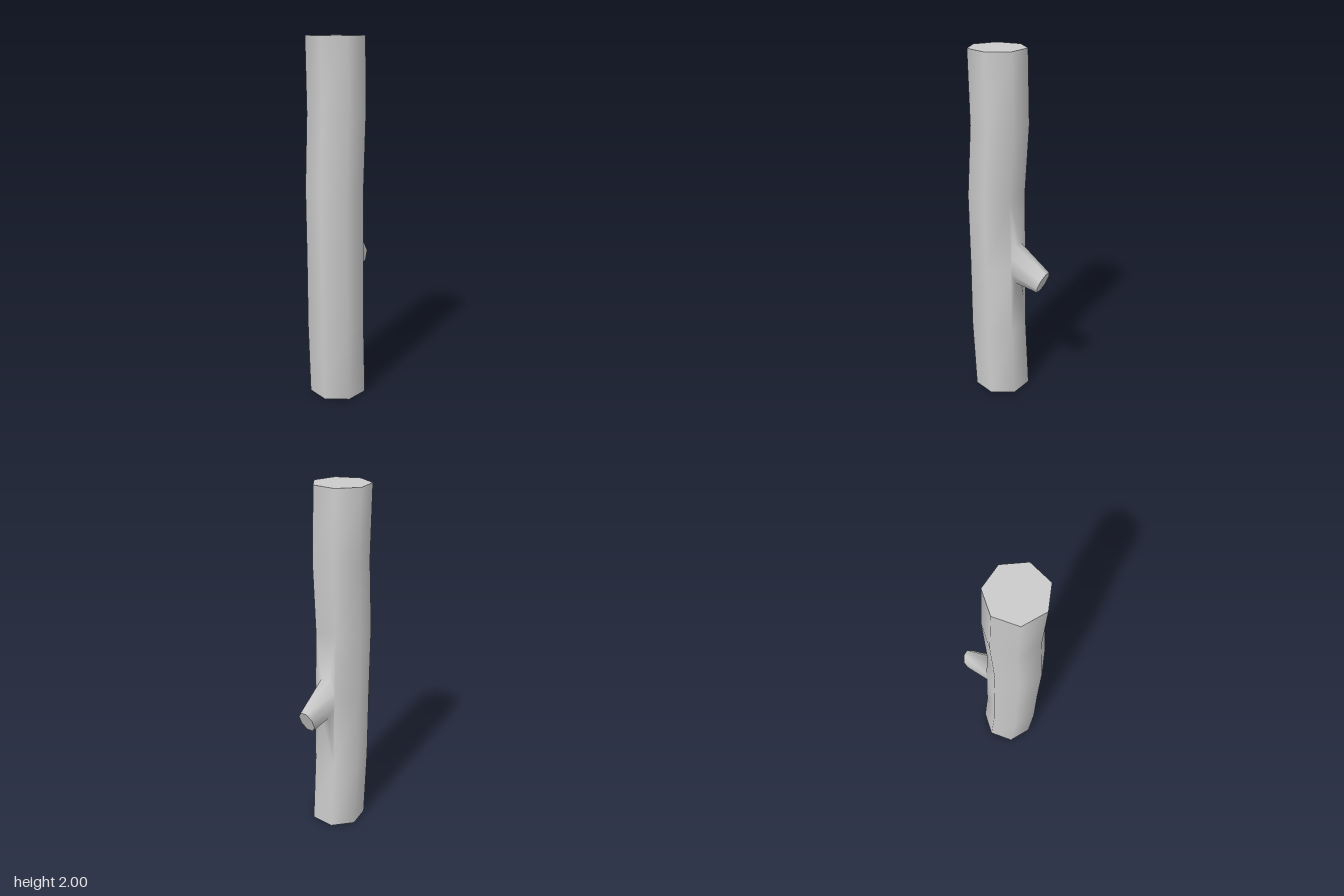
import * as THREE from 'three';

const SIDES = 7, RADIUS = 0.16, TURN = -0.045;
// height and z offset of each trunk ring
const RINGS = [[0, 0.057], [0.4, 0.081], [0.8, 0.085], [1.2, 0.094], [1.6, 0.069], [2, 0.081]];

function ringPoint(r, k) {
  const a = TURN + (k * Math.PI * 2) / SIDES;
  return new THREE.Vector3(Math.sin(a) * RADIUS, RINGS[r][0], RINGS[r][1] + Math.cos(a) * RADIUS);
}

// Oval eight-sided loop, counter-clockwise seen from behind
function branchLoop(centre, w, up) {
  return Array.from({ length: 8 }, (_, j) => {
    const t = ((j + 0.5) * Math.PI) / 4;
    return centre.clone().addScaledVector(up, Math.sin(t)).add(new THREE.Vector3(-Math.cos(t) * w, 0, 0));
  });
}

// Flat cap over a convex loop
function makeCap(name, points, material) {
  const geo = new THREE.BufferGeometry().setFromPoints(points);
  const index = [];
  for (let i = 1; i < points.length - 1; i++) index.push(0, i, i + 1);
  geo.setIndex(index);
  geo.computeVertexNormals();
  const mesh = new THREE.Mesh(geo, material);
  mesh.name = name;
  return mesh;
}

export function createModel() {
  const group = new THREE.Group();
  group.name = 'log';
  const material = new THREE.MeshStandardMaterial({ color: 0xcccccc });
  const points = [], index = [];
  const id = (r, k) => r * SIDES + (k % SIDES);

  // Trunk sides, leaving the back panel open where the branch grows
  for (let r = 0; r < RINGS.length; r++) {
    for (let k = 0; k < SIDES; k++) {
      points.push(ringPoint(r, k));
      if (r === RINGS.length - 1 || (k === 3 && (r === 1 || r === 2))) continue;
      const a = id(r, k), b = id(r, k + 1), c = id(r + 1, k + 1), d = id(r + 1, k);
      index.push(a, b, c, a, c, d);
    }
  }

  // Branch base lies on the back panel
  const base = branchLoop(new THREE.Vector3(0.006, 0.815, 0), 0.071, new THREE.Vector3(0, 0.125, 0));
  for (const p of base) {
    const r = p.y < RINGS[2][0] ? 1 : 2;
    const f = (p.y - RINGS[r][0]) / 0.4;
    const left = ringPoint(r, 3).lerp(ringPoint(r + 1, 3), f);
    const right = ringPoint(r, 4).lerp(ringPoint(r + 1, 4), f);
    p.z = THREE.MathUtils.mapLinear(p.x, left.x, right.x, left.z, right.z);
  }
  const tip = branchLoop(new THREE.Vector3(0.007, 0.737, -0.223), 0.049, new THREE.Vector3(0, 0.068, -0.03));
  const baseId = points.length, tipId = baseId + 8;
  points.push(...base, ...tip);

  // Join panel corners to the base, and the base to the tip
  const outer = [id(3, 4), id(3, 3), id(3, 3), id(2, 3), id(1, 3), id(1, 4), id(1, 4), id(2, 4)];
  for (let j = 0; j < 8; j++) {
    const n = (j + 1) % 8;
    index.push(baseId + j, outer[j], baseId + n);
    if (outer[j] !== outer[n]) index.push(baseId + n, outer[j], outer[n]);
    index.push(baseId + j, baseId + n, tipId + n, baseId + j, tipId + n, tipId + j);
  }

  const bark = new THREE.BufferGeometry().setFromPoints(points);
  bark.setIndex(index);
  bark.computeVertexNormals();
  const trunk = new THREE.Mesh(bark, material);
  trunk.name = 'trunkAndBranch';

  // Cut ends
  const ring = (r) => Array.from({ length: SIDES }, (_, k) => ringPoint(r, k));
  group.add(
    trunk,
    makeCap('topEnd', ring(RINGS.length - 1), material),
    makeCap('bottomEnd', ring(0).reverse(), material),
    makeCap('branchEnd', tip, material),
  );
  return group;
}
